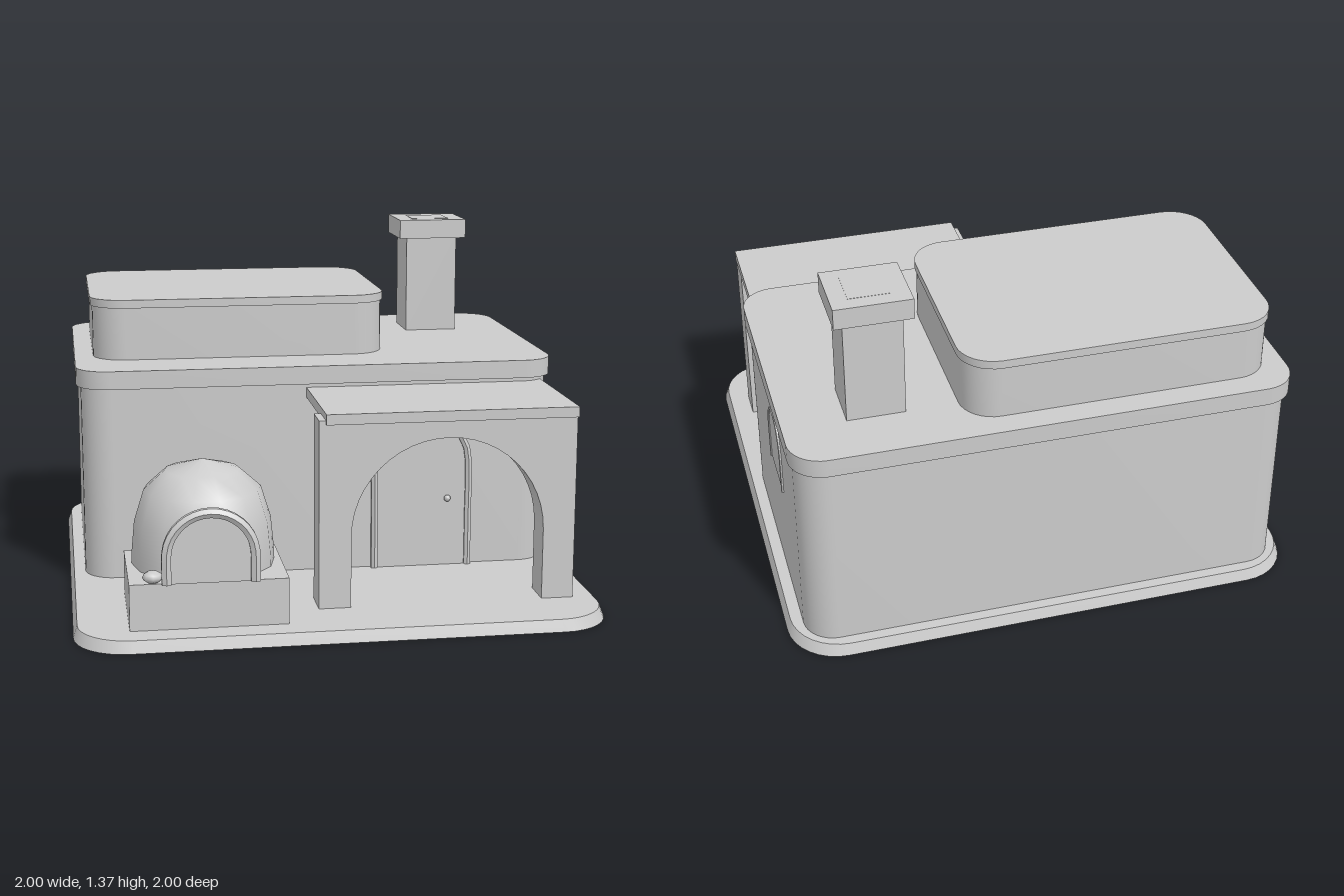
import * as THREE from 'three';
import { toCreasedNormals } from 'three/addons/utils/BufferGeometryUtils.js';

const plaster = new THREE.MeshStandardMaterial({ color: 0xcccccc });
plaster.name = 'pale plaster';

export function createModel() {
  const model = new THREE.Group();
  model.name = 'adobeHouse';

  const add = (name, geometry) => {
    const mesh = new THREE.Mesh(geometry, plaster);
    mesh.name = name;
    model.add(mesh);
    return mesh;
  };

  // Box given by its extents on each axis
  const box = (name, x0, x1, y0, y1, z0, z1) =>
    add(name, new THREE.BoxGeometry(x1 - x0, y1 - y0, z1 - z0))
      .position.set((x0 + x1) / 2, (y0 + y1) / 2, (z0 + z1) / 2);

  // Upright block with rounded corners; the top may be scaled in
  const roundedBlock = (name, x0, x1, y0, y1, z0, z1, r, topScale = 1) => {
    const w = (x1 - x0) / 2, d = (z1 - z0) / 2;
    const s = new THREE.Shape();
    s.moveTo(-w + r, -d);
    s.lineTo(w - r, -d);
    s.absarc(w - r, -d + r, r, -Math.PI / 2, 0);
    s.lineTo(w, d - r);
    s.absarc(w - r, d - r, r, 0, Math.PI / 2);
    s.lineTo(-w + r, d);
    s.absarc(-w + r, d - r, r, Math.PI / 2, Math.PI);
    s.lineTo(-w, -d + r);
    s.absarc(-w + r, -d + r, r, Math.PI, Math.PI * 1.5);
    const g = new THREE.ExtrudeGeometry(s, { depth: y1 - y0, bevelEnabled: false, curveSegments: 4 });
    g.rotateX(-Math.PI / 2);
    const p = g.attributes.position;
    for (let i = 0; i < p.count; i++) {
      if (p.getY(i) > (y1 - y0) / 2) p.setXYZ(i, p.getX(i) * topScale, p.getY(i), p.getZ(i) * topScale);
    }
    add(name, toCreasedNormals(g, 0.6)).position.set((x0 + x1) / 2, y0, (z0 + z1) / 2);
  };

  // Outline of an arched opening standing on y = 0, centred on x = 0
  const archOutline = (path, r, leg) => {
    path.moveTo(-r, 0);
    path.lineTo(r, 0);
    path.lineTo(r, leg);
    path.absarc(0, leg, r, 0, Math.PI);
    path.lineTo(-r, 0);
    return path;
  };

  // Arched panel with a six-sided rim around it, facing +z
  const archFeature = (name, r, leg, rim, panelDepth) => {
    const group = new THREE.Group();
    group.name = name;
    const panel = new THREE.Mesh(
      new THREE.ExtrudeGeometry(archOutline(new THREE.Shape(), r, leg),
        { depth: panelDepth, bevelEnabled: false, curveSegments: 12 }), plaster);
    panel.name = name + 'Panel';
    panel.position.z = -panelDepth;
    const points = [new THREE.Vector3(r, 0, 0), new THREE.Vector3(r, leg / 2, 0)];
    for (let i = 0; i <= 12; i++) {
      const a = (i / 12) * Math.PI;
      points.push(new THREE.Vector3(r * Math.cos(a), leg + r * Math.sin(a), 0));
    }
    points.push(new THREE.Vector3(-r, leg / 2, 0), new THREE.Vector3(-r, 0, 0));
    const tube = new THREE.TubeGeometry(new THREE.CatmullRomCurve3(points), 24, rim, 6);
    const frame = new THREE.Mesh(toCreasedNormals(tube, 0.6), plaster);
    frame.name = name + 'Rim';
    group.add(panel, frame);
    model.add(group);
    return group;
  };

  // Ground slab, house walls and roofs
  roundedBlock('groundSlab', -1, 1, 0, 0.045, -1, 1, 0.2, 0.985);
  roundedBlock('houseWalls', -0.94, 0.94, 0.045, 0.82, -0.943, 0.24, 0.12);
  roundedBlock('roofSlab', -0.958, 0.958, 0.81, 0.882, -0.96, 0.253, 0.13);
  roundedBlock('upperWalls', -0.883, 0.303, 0.88, 1.1, -0.863, 0.013, 0.13);
  roundedBlock('upperRoof', -0.892, 0.31, 1.092, 1.125, -0.87, 0.021, 0.14);

  // Chimney
  box('chimneyStack', 0.5, 0.72, 0.88, 1.3, -0.742, -0.53);
  box('chimneyCap', 0.465, 0.755, 1.29, 1.37, -0.77, -0.503);
  box('chimneyFlue', 0.53, 0.69, 1.36, 1.371, -0.71, -0.56);

  // Porch: arched front wall and flat roof
  const porch = new THREE.Shape();
  porch.moveTo(-0.493, 0);
  porch.lineTo(-0.37, 0);
  porch.lineTo(-0.37, 0.275);
  porch.absarc(0, 0.275, 0.37, Math.PI, 0, true);
  porch.lineTo(0.37, 0);
  porch.lineTo(0.493, 0);
  porch.lineTo(0.493, 0.725);
  porch.lineTo(-0.493, 0.725);
  const porchGeo = new THREE.ExtrudeGeometry(porch, { depth: 0.13, bevelEnabled: false, curveSegments: 12 });
  add('porchArch', toCreasedNormals(porchGeo, 0.4)).position.set(0.411, 0.045, 0.607);
  box('porchRoof', -0.056, 0.906, 0.755, 0.795, 0.18, 0.75);

  // Door with knob
  archFeature('door', 0.192, 0.433, 0.015, 0.02).position.set(0.41, 0.045, 0.254);
  add('doorKnob', new THREE.SphereGeometry(0.014, 8, 6)).position.set(0.515, 0.326, 0.265);

  // Window on the left wall
  const sideWindow = archFeature('sideWindow', 0.122, 0.16, 0.006, 0.008);
  sideWindow.position.set(0.943, 0.455, -0.415);
  sideWindow.rotation.y = Math.PI / 2;

  // Outdoor oven: plinth, dome, mouth and bowl
  box('ovenPlinth', -0.797, -0.213, 0.045, 0.22, 0.452, 0.885);
  const domeProfile = [[0.27, 0.21], [0.268, 0.27], [0.257, 0.385], [0.22, 0.503], [0.14, 0.575], [0, 0.615]]
    .map(([x, y]) => new THREE.Vector2(x, y));
  add('ovenDome', new THREE.LatheGeometry(domeProfile, 14, Math.PI / 2)).position.set(-0.505, 0, 0.615);
  archFeature('ovenMouth', 0.162, 0.1, 0.02, 0.03).position.set(-0.5, 0.22, 0.896);
  const bowl = add('bowl', new THREE.SphereGeometry(0.038, 8, 6));
  bowl.scale.y = 0.6;
  bowl.position.set(-0.71, 0.243, 0.87);

  return model;
}
